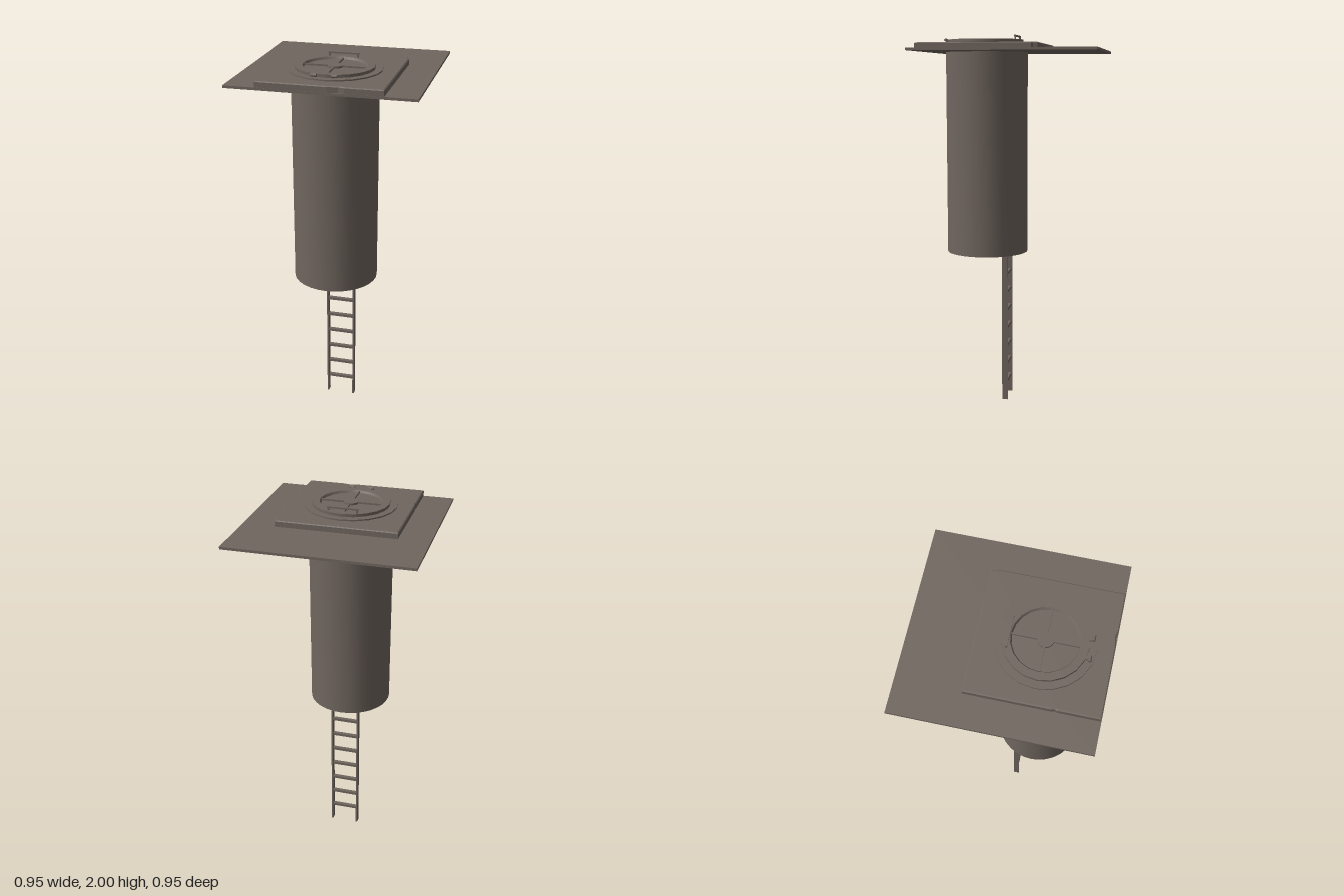
import * as THREE from 'three';
import { toCreasedNormals } from 'three/addons/utils/BufferGeometryUtils.js';

export function createModel() {
  const model = new THREE.Group();
  model.name = 'hatchShaft';
  const material = new THREE.MeshStandardMaterial({ color: 0x70665f });
  material.name = 'weathered grey brown';

  const add = (name, geometry, x = 0, y = 0, z = 0, parent = model) => {
    const mesh = new THREE.Mesh(geometry, material);
    mesh.name = name;
    mesh.position.set(x, y, z);
    parent.add(mesh);
    return mesh;
  };
  const box = (name, w, h, d, x, y, z, parent) =>
    add(name, new THREE.BoxGeometry(w, h, d), x, y, z, parent);
  const lathe = (points, sides) => toCreasedNormals(
    new THREE.LatheGeometry(points.map(([r, y]) => new THREE.Vector2(r, y)), sides), 0.6);

  const cz = 0.158; // centre line of the shaft and hatch

  // Ground plate
  box('groundPlate', 0.95, 0.013, 0.95, 0, 1.9185, 0);

  // Hollow shaft, open at the bottom
  add('shaft', lathe([[0.198, 1.914], [0.198, 0.83], [0.22, 0.83], [0.22, 1.914]], 32), 0, 0, cz);

  // Slab with chipped edges (shape y becomes -z)
  const outline = [
    [-0.31, -0.469], [0.04, -0.469], [0.095, -0.461], [0.125, -0.469], [0.309, -0.469],
    [0.309, 0.128], [0.302, 0.138], [0.299, 0.156], [-0.31, 0.156], [-0.31, -0.245], [-0.306, -0.265], [-0.31, -0.275],
  ];
  const slab = new THREE.ExtrudeGeometry(
    new THREE.Shape(outline.map(([x, y]) => new THREE.Vector2(x, y))),
    { depth: 0.027, bevelEnabled: true, bevelSegments: 1, bevelSize: 0.005, bevelThickness: 0.004 });
  slab.rotateX(-Math.PI / 2);
  add('slab', slab, 0, 1.925, 0);

  // Round hatch: low flange, raised lid rim and recessed panel
  const hatch = new THREE.Group();
  hatch.name = 'hatch';
  hatch.position.z = cz;
  model.add(hatch);
  add('hatchLid', lathe([
    [0.237, 1.95], [0.237, 1.963], [0.2, 1.963], [0.2, 1.978],
    [0.162, 1.978], [0.155, 1.966], [0, 1.966],
  ], 20), 0, 0, 0, hatch);

  // Cross ribs and hub in the recess
  add('hub', new THREE.CylinderGeometry(0.038, 0.038, 0.012, 16), 0, 1.97, 0, hatch);
  for (let i = 0; i < 4; i++) {
    const a = i * Math.PI / 2;
    box('rib', 0.124, 0.01, 0.008, Math.cos(a) * 0.097, 1.97, Math.sin(a) * 0.097, hatch).rotation.y = -a;
  }

  // Lift handle at the back of the lid
  box('handleBar', 0.16, 0.008, 0.011, 0, 1.996, -0.009);
  for (const s of [-1, 1]) {
    box('handlePost', 0.008, 0.018, 0.009, s * 0.074, 1.984, -0.009);
    // Hinges at the front of the lid
    box('hingeArm', 0.018, 0.012, 0.03, s * 0.047, 1.972, 0.355);
    const pin = add('hingePin', new THREE.CylinderGeometry(0.008, 0.008, 0.027, 8), s * 0.051, 1.976, 0.37);
    pin.rotation.z = Math.PI / 2;
  }

  // Ladder rising inside the shaft
  const ladder = new THREE.Group();
  ladder.name = 'ladder';
  model.add(ladder);
  for (const s of [-1, 1]) box('ladderRail', 0.009, 1.913, 0.032, s * 0.074, 0.9565, 0.048, ladder);
  for (let i = 0; i < 18; i++) box('ladderRung', 0.14, 0.014, 0.02, 0, 0.102 + i * 0.1015, 0.048, ladder);

  return model;
}
